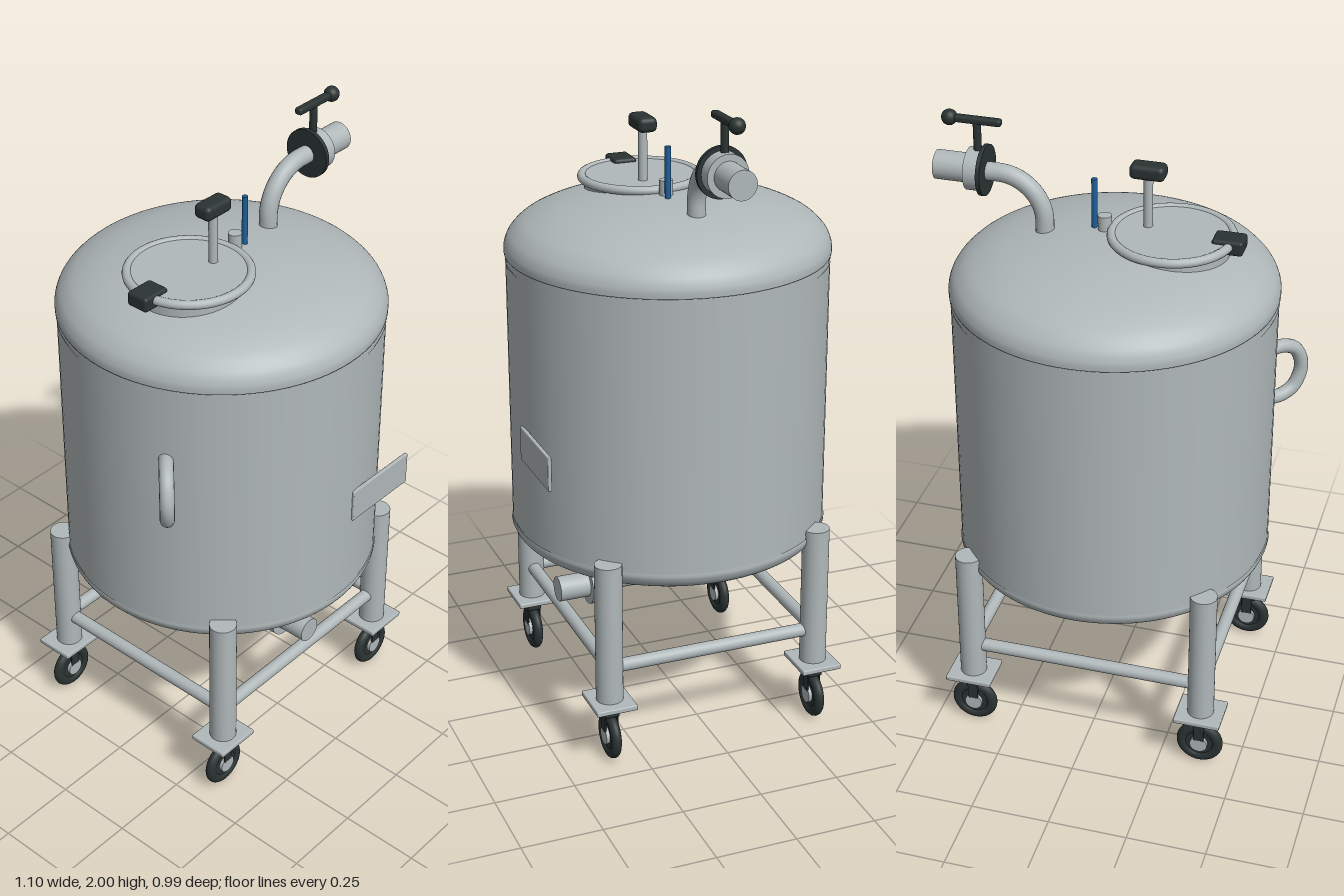
import * as THREE from 'three';
import { RoundedBoxGeometry } from 'three/addons/geometries/RoundedBoxGeometry.js';

const V = (x, y, z) => new THREE.Vector3(x, y, z);

export function createModel() {
  const model = new THREE.Group();
  model.name = 'wheeledTank';
  const material = (name, color) => {
    const m = new THREE.MeshStandardMaterial({ color });
    m.name = name;
    return m;
  };
  const steel = material('steel', 0xb0b8ba);
  const rubber = material('darkRubber', 0x2b3333);
  const blue = material('blue', 0x1f5f99);

  const add = (name, geometry, mat, parent = model, x = 0, y = 0, z = 0) => {
    const mesh = new THREE.Mesh(geometry, mat);
    mesh.name = name;
    mesh.position.set(x, y, z);
    parent.add(mesh);
    return mesh;
  };
  // Round bar between two points
  const rod = (name, a, b, r, mat, parent = model, sides = 32) => {
    const mesh = add(name, new THREE.CylinderGeometry(r, r, a.distanceTo(b), sides), mat, parent);
    mesh.position.copy(a).add(b).multiplyScalar(0.5);
    mesh.quaternion.setFromUnitVectors(V(0, 1, 0), b.clone().sub(a).normalize());
    return mesh;
  };
  const box = (name, w, h, d, mat, parent, x, y, z, r = 0.008) =>
    add(name, new RoundedBoxGeometry(w, h, d, 3, r), mat, parent, x, y, z);
  // Straight pipe, quarter bend, straight pipe
  const elbow = (name, a, corner, b, bend, r) => {
    const p = corner.clone().add(a.clone().sub(corner).setLength(bend));
    const q = corner.clone().add(b.clone().sub(corner).setLength(bend));
    const k = 0.45;
    const path = new THREE.CurvePath();
    path.add(new THREE.LineCurve3(a, p));
    path.add(new THREE.CubicBezierCurve3(p, p.clone().lerp(corner, 1 - k), q.clone().lerp(corner, 1 - k), q));
    path.add(new THREE.LineCurve3(q, b));
    add(name, new THREE.TubeGeometry(path, 48, r, 20), steel);
  };
  const lathe = (name, pts) => add(name, new THREE.LatheGeometry(pts, 96), steel);
  const smooth = (pts) =>
    new THREE.SplineCurve(pts.map(([x, y]) => new THREE.Vector2(x, y))).getPoints(40);

  // Tank shell and dished ends
  add('tankShell', new THREE.CylinderGeometry(0.492, 0.492, 0.88, 96, 1, true), steel, model, 0, 1.05, 0);
  lathe('tankTop', [new THREE.Vector2(0.49, 1.485), ...smooth([[0.496, 1.487], [0.494, 1.515],
    [0.476, 1.55], [0.43, 1.588], [0.336, 1.625], [0.18, 1.655], [0, 1.667]])]);
  lathe('tankBottom', smooth([[0, 0.511], [0.18, 0.522], [0.33, 0.54], [0.43, 0.561],
    [0.476, 0.583], [0.494, 0.61], [0.495, 0.63]]));
  for (const y of [0.635, 1.464])
    add('weldSeam', new THREE.CylinderGeometry(0.4935, 0.4935, 0.005, 96, 1, true), steel, model, 0, y, 0);

  // Legs, pads and casters
  const LX = 0.378, LZ = 0.341;
  for (const sx of [-1, 1]) for (const sz of [-1, 1]) {
    const leg = new THREE.Group();
    leg.name = 'leg';
    leg.position.set(sx * LX, 0, sz * LZ);
    model.add(leg);
    rod('legPost', V(0, 0.195, 0), V(0, 0.655, 0), 0.042, steel, leg);
    box('legPad', 0.148, 0.017, 0.13, steel, leg, 0, 0.194, 0, 0.004);
    rod('casterSwivel', V(0, 0.15, 0), V(0, 0.187, 0), 0.022, rubber, leg);
    box('casterForkTop', 0.058, 0.018, 0.044, rubber, leg, 0, 0.157, 0, 0.004);
    for (const z of [-0.02, 0.02])
      box('casterForkArm', 0.034, 0.07, 0.005, rubber, leg, 0, 0.127, z, 0.002);
    const tyre = add('tyre', new THREE.TorusGeometry(0.057, 0.018, 14, 40), rubber, leg, 0, 0.076, 0);
    tyre.scale.z = 0.9;
    rod('wheelWeb', V(0, 0.076, -0.01), V(0, 0.076, 0.01), 0.05, rubber, leg);
    rod('wheelHub', V(0, 0.076, -0.021), V(0, 0.076, 0.021), 0.028, steel, leg);
  }

  // Cross bars between the legs
  for (const s of [-1, 1]) {
    rod('longCrossBar', V(-LX, 0.309, s * LZ), V(LX, 0.309, s * LZ), 0.021, steel);
    rod('sideCrossBar', V(s * LX, 0.309, -LZ), V(s * LX, 0.309, LZ), 0.021, steel);
  }

  // Manhole collar, lid and rim
  const lid = new THREE.Group();
  lid.name = 'manhole';
  lid.position.set(-0.168, 0, 0.024);
  model.add(lid);
  rod('manholeCollar', V(0, 1.6, 0), V(0, 1.668, 0), 0.172, steel, lid, 64);
  rod('manholeLid', V(0, 1.66, 0), V(0, 1.68, 0), 0.174, steel, lid, 64);
  const rim = add('manholeRim', new THREE.TorusGeometry(0.179, 0.014, 14, 72), steel, lid, 0, 1.672, 0);
  rim.rotation.x = Math.PI / 2;
  box('lidLatch', 0.094, 0.046, 0.074, rubber, model, -0.34, 1.669, 0.023, 0.01);
  rod('lidHandleStem', V(-0.088, 1.67, 0.046), V(-0.088, 1.845, 0.046), 0.014, steel);
  box('lidHandleGrip', 0.107, 0.046, 0.06, rubber, model, -0.088, 1.858, 0.046, 0.016);

  // Small port and blue probe
  rod('smallPort', V(0.037, 1.64, 0.02), V(0.037, 1.71, 0.02), 0.021, steel);
  rod('probe', V(0.071, 1.65, 0.028), V(0.071, 1.82, 0.028), 0.009, blue);

  // Valve running along local +x
  const valve = (name, length, endRadius, flangeRadius) => {
    const g = new THREE.Group();
    g.name = name;
    model.add(g);
    rod('valveFlange', V(0, 0, 0), V(0.013, 0, 0), flangeRadius, rubber, g, 48);
    rod('valveBody', V(0.013, 0, 0), V(0.057, 0, 0), 0.064, steel, g, 48);
    rod('valveOutlet', V(0.057, 0, 0), V(length, 0, 0), endRadius, steel, g, 40);
    return g;
  };
  const Z = -0.004;
  elbow('topPipe', V(0.215, 1.6, Z), V(0.215, 1.818, Z), V(0.395, 1.818, Z), 0.14, 0.028);
  const topValve = valve('topValve', 0.158, 0.044, 0.077);
  topValve.position.set(0.389, 1.82, Z);
  rod('valveStem', V(0.028, 0.06, 0), V(0.028, 0.156, 0), 0.012, rubber, topValve);
  box('valveLever', 0.16, 0.022, 0.026, rubber, topValve, 0.032, 0.156, 0);
  add('leverKnob', new THREE.SphereGeometry(0.024, 24, 16), rubber, topValve, 0.112, 0.156, 0);

  elbow('drainPipe', V(0, 0.54, 0), V(0, 0.4, 0), V(0, 0.4, 0.225), 0.12, 0.03);
  const drain = valve('drainValve', 0.155, 0.04, 0.066);
  drain.position.set(0, 0.4, 0.22);
  drain.rotation.y = -Math.PI / 2;
  rod('drainStem', V(0, 0.45, 0.252), V(0, 0.53, 0.252), 0.01, rubber);
  box('drainLever', 0.12, 0.018, 0.022, rubber, model, -0.055, 0.518, 0.252, 0.006);

  // Side grab handle
  const grab = [[0, 1.238], [0.055, 1.238], [0.098, 1.215], [0.122, 1.15], [0.098, 1.085],
    [0.055, 1.062], [0, 1.062]].map(([d, y]) => V(-0.442 - d * 0.72, y, 0.178 + d * 0.69));
  add('grabHandle', new THREE.TubeGeometry(new THREE.CatmullRomCurve3(grab), 48, 0.022, 16), steel);

  // Front name plate blank
  box('frontPlate', 0.265, 0.108, 0.012, steel, model, 0.173, 0.938, 0.491, 0.003);

  return model;
}
